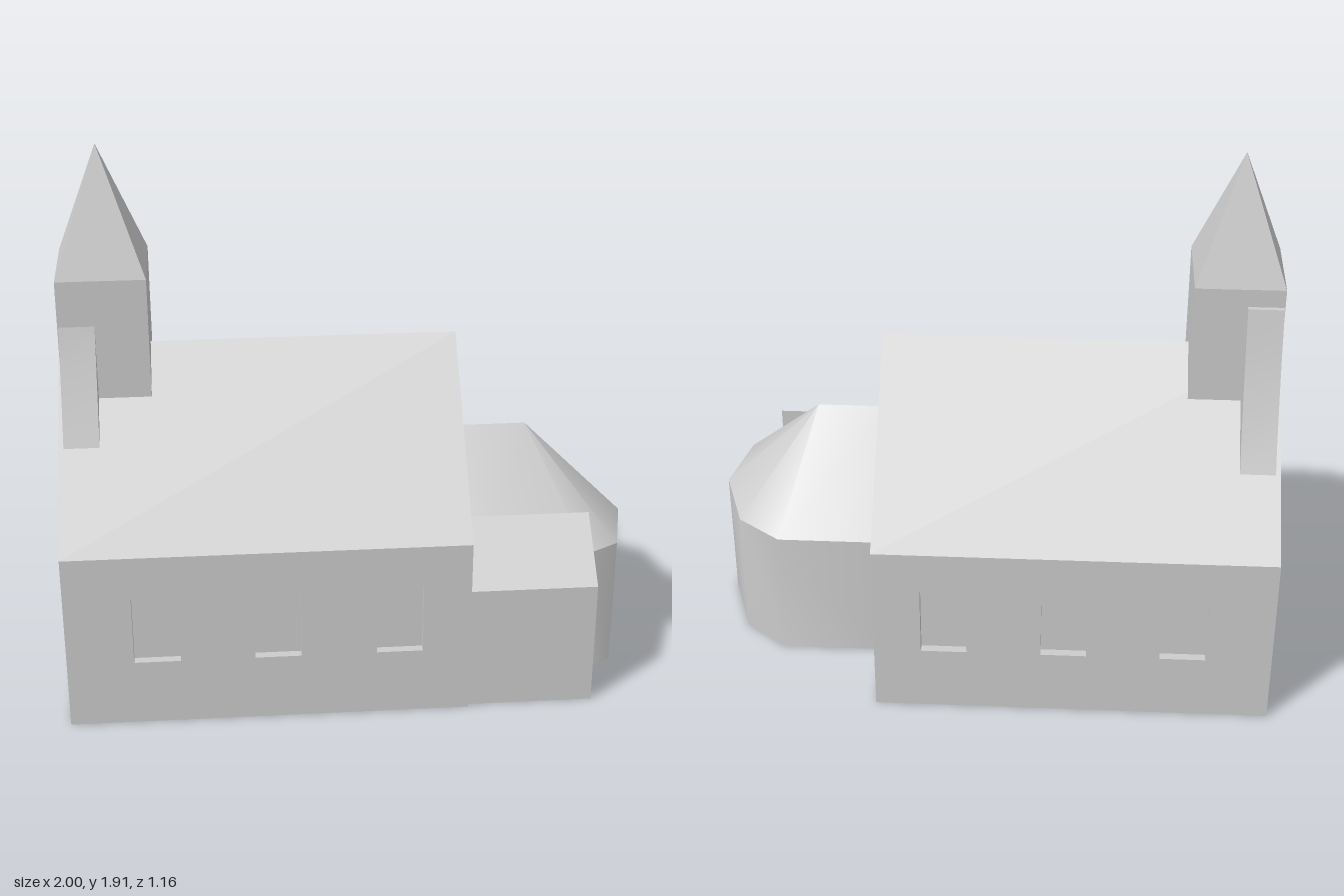
import * as THREE from 'three';
import { toCreasedNormals } from 'three/addons/utils/BufferGeometryUtils.js';

const WEST = -1, EAST = 0.39, HALF = 0.58, EAVES = 0.66, RIDGE = 1.19;

export function createModel() {
  const model = new THREE.Group();
  const stone = new THREE.MeshStandardMaterial({ color: 0xcccccc });
  stone.name = 'stone';

  const add = (name, geometry, x = 0, y = 0, z = 0) => {
    const mesh = new THREE.Mesh(toCreasedNormals(geometry, 0.75), stone);
    mesh.name = name;
    mesh.position.set(x, y, z);
    model.add(mesh);
    return mesh;
  };
  const block = (name, x0, x1, y0, y1, z0, z1) =>
    add(name, new THREE.BoxGeometry(x1 - x0, y1 - y0, z1 - z0),
      (x0 + x1) / 2, (y0 + y1) / 2, (z0 + z1) / 2);
  const shapeOf = (points) => new THREE.Shape(points.map(([a, b]) => new THREE.Vector2(a, b)));
  const extrude = (shape, depth) =>
    new THREE.ExtrudeGeometry(shape, { depth, bevelEnabled: false, curveSegments: 12 });
  // Extrudes a [z, y] section along x
  const alongX = (shape, length) => extrude(shape, length).rotateY(Math.PI / 2);
  const section = (points) => shapeOf(points.map(([z, y]) => [-z, y]));

  // Round-headed window opening
  const arch = (centre, bottom, top, r = 0.08) => {
    const hole = new THREE.Path();
    hole.moveTo(centre - r, bottom);
    hole.lineTo(centre + r, bottom);
    hole.lineTo(centre + r, top - r);
    hole.absarc(centre, top - r, r, 0, Math.PI, false);
    hole.closePath();
    return hole;
  };
  const rect = (a, b) => shapeOf([[a, 0], [b, 0], [b, EAVES], [a, EAVES]]);

  // Nave: inner block behind walls pierced by windows
  const sideDepth = 0.03, westDepth = 0.04;
  block('naveCore', WEST + westDepth, EAST, 0, EAVES, -HALF + sideDepth, HALF - sideDepth);
  for (const [name, z] of [['frontWall', HALF - sideDepth], ['backWall', -HALF]]) {
    const wall = rect(WEST + westDepth, EAST);
    for (const x of [-0.69, -0.275, 0.145]) wall.holes.push(arch(x, 0.245, 0.57));
    add(name, extrude(wall, sideDepth), 0, 0, z);
  }
  const west = rect(-HALF, HALF);
  west.holes.push(arch(0.33, 0.235, 0.57), arch(0.02, 0.115, 0.44), arch(-0.34, 0.235, 0.57));
  add('westWall', alongX(west, westDepth), WEST);
  add('naveRoof', alongX(shapeOf([[-HALF, EAVES], [HALF, EAVES], [0, RIDGE]]), EAST - WEST), WEST);

  // Bell tower and spire
  const towerX = -0.833, towerHalf = 0.153, towerTop = 1.485;
  block('tower', towerX - towerHalf, towerX + towerHalf, 0.9, towerTop, -towerHalf, towerHalf);
  add('spire', new THREE.ConeGeometry(towerHalf * Math.SQRT2, 0.43, 4, 1).rotateY(Math.PI / 4),
    towerX, towerTop + 0.215);

  // Curved buttresses, the back one taller
  const frontCurve = [[0.153, 1.32], [0.165, 1.27], [0.2, 1.16], [0.235, 1.06], [0.27, 0.97], [0.29, 0.92]];
  const backCurve = [[-0.153, 1.42], [-0.17, 1.42], [-0.2, 1.28], [-0.24, 1.14], [-0.3, 0.97], [-0.348, 0.87]];
  add('frontButtress', alongX(section([[0, 0.9], [0, 1.32], ...frontCurve]), 0.122), -0.983);
  add('backButtress', alongX(section([[0, 0.87], [0, 1.42], ...backCurve].reverse()), 0.122), -0.983);

  // Apse: many-sided wall, [x, z] plan
  const plan = [[EAST, 0.385], [0.83, 0.385], [0.945, 0.32], [1, 0.08], [0.915, -0.17], [0.76, -0.285], [EAST, -0.285]];
  const apseTop = 0.49;
  add('apseWall', extrude(shapeOf(plan.map(([x, z]) => [x, -z])), apseTop).rotateX(-Math.PI / 2));

  // Apse roof: ridge ending in a half cone
  const eave = plan.map(([x, z]) => [x, apseTop, z]);
  const start = [EAST, 0.85, 0.06], end = [0.64, 0.85, 0.06];
  const last = eave.length - 1;
  const faces = [[eave[0], end, start], [eave[last - 1], start, end]];
  for (let i = 0; i < last; i++) faces.push([eave[i], eave[i + 1], i === last - 1 ? start : end]);
  const roof = new THREE.BufferGeometry();
  roof.setAttribute('position', new THREE.Float32BufferAttribute(faces.flat(2), 3));
  add('apseRoof', roof);

  // Lean-to beside the apse
  add('leanTo', alongX(section([[0.565, 0], [0.345, 0], [0.345, 0.635], [0.565, 0.465]]), 0.83 - EAST), EAST);

  return model;
}
